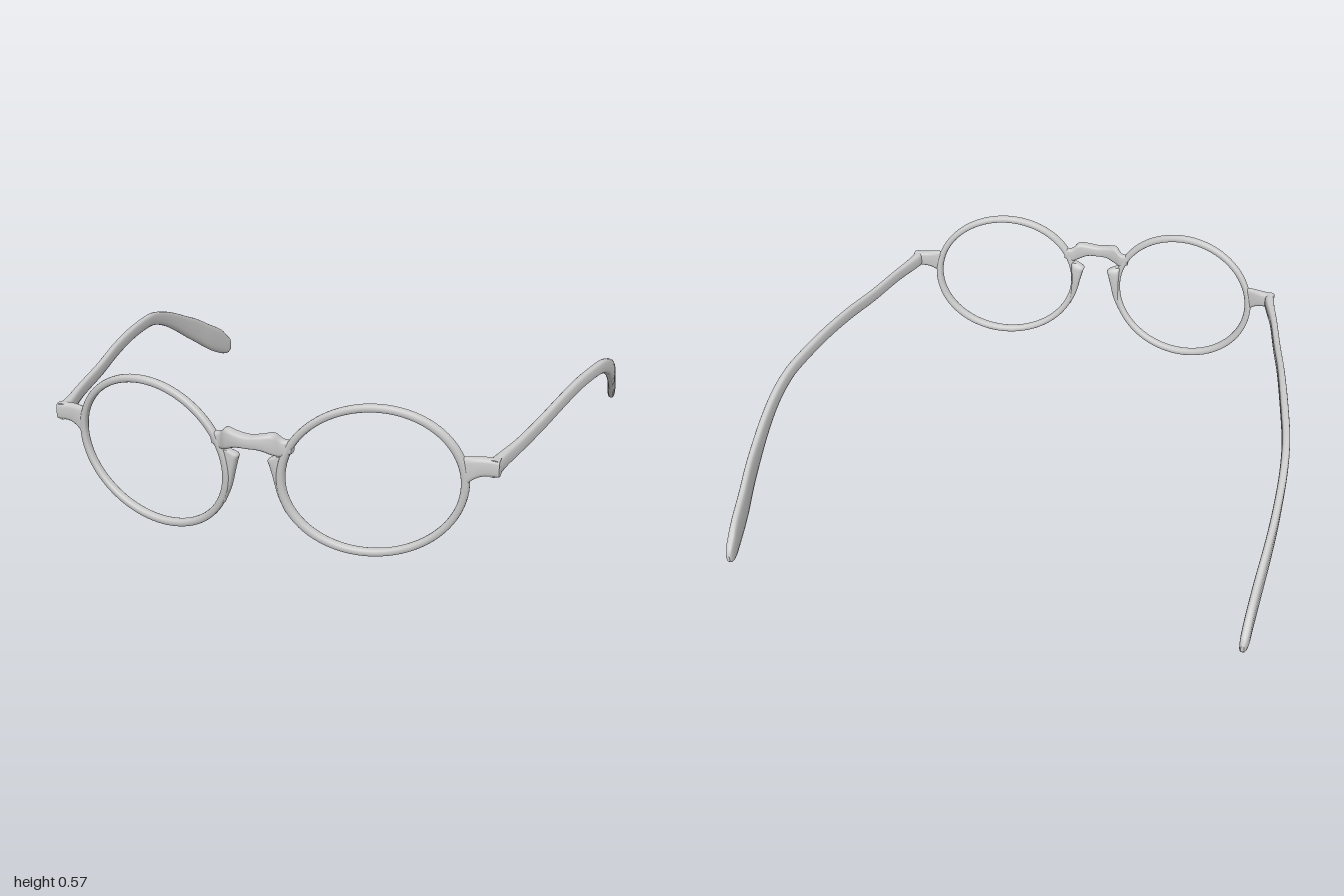
import * as THREE from 'three';

const material = new THREE.MeshStandardMaterial({ color: 0xcccccc });
const SIDES = 16;

// Rounded-box cross-section point (superellipse)
function section(j, power) {
  const a = (j / SIDES) * Math.PI * 2;
  const soft = (v) => Math.sign(v) * Math.pow(Math.abs(v), power);
  return [soft(Math.cos(a)), soft(Math.sin(a))];
}

// Skin over a list of rings, either closed into a loop or capped at both ends
function skin(rings, closed) {
  const n = rings.length;
  const pos = rings.flat(2);
  const index = [];
  for (let i = 0; i < (closed ? n : n - 1); i++) {
    for (let j = 0; j < SIDES; j++) {
      const k = (j + 1) % SIDES;
      const r = ((i + 1) % n) * SIDES;
      index.push(i * SIDES + j, i * SIDES + k, r + k, i * SIDES + j, r + k, r + j);
    }
  }
  if (!closed) {
    for (const [ring, end] of [[rings[0], false], [rings[n - 1], true]]) {
      const base = pos.length / 3;
      const mid = [0, 1, 2].map((c) => ring.reduce((s, p) => s + p[c], 0) / SIDES);
      pos.push(...ring.flat(), ...mid);
      for (let j = 0; j < SIDES; j++) {
        const k = (j + 1) % SIDES;
        index.push(base + SIDES, base + (end ? j : k), base + (end ? k : j));
      }
    }
  }
  const g = new THREE.BufferGeometry();
  g.setAttribute('position', new THREE.Float32BufferAttribute(pos, 3));
  g.setIndex(index);
  g.computeVertexNormals();
  return g;
}

// Smooth loft along +axis; row = [x, y, z, halfSize1, halfSize2],
// half sizes lie on the next two axes in x-y-z order
function loft(axis, rows, steps, power = 0.65) {
  const path = new THREE.CatmullRomCurve3(rows.map((r) => new THREE.Vector3(r[0], r[1], r[2])), false, 'catmullrom');
  const size = new THREE.CatmullRomCurve3(rows.map((r) => new THREE.Vector3(r[3], r[4], 0)), false, 'catmullrom');
  const u = (axis + 1) % 3;
  const v = (axis + 2) % 3;
  const rings = [];
  for (let i = 0; i <= steps; i++) {
    const c = path.getPoint(i / steps).toArray();
    const s = size.getPoint(i / steps);
    const ring = [];
    for (let j = 0; j < SIDES; j++) {
      const [a, b] = section(j, power);
      const p = c.slice();
      p[u] += a * s.x;
      p[v] += b * s.y;
      ring.push(p);
    }
    rings.push(ring);
  }
  return skin(rings, false);
}

// Oval rim lying in a tilted, outward-swept plane
function rimGeometry() {
  const rings = [];
  for (let i = 0; i < 96; i++) {
    const t = (i / 96) * Math.PI * 2;
    const ring = [];
    for (let j = 0; j < SIDES; j++) {
      const [a, b] = section(j, 0.75);
      const dx = (0.303 + a * 0.0135) * Math.cos(t) + 0.015 * Math.sin(t);
      const dy = (0.2715 + a * 0.0135) * Math.sin(t);
      ring.push([0.403 + dx, 0.29 + dy, 0.882 - 0.2 * dx + 0.08 * dy - b * 0.018]);
    }
    rings.push(ring);
  }
  return skin(rings, true);
}

// Reflect a geometry to the other side, keeping faces outward
function mirrored(geometry) {
  const g = geometry.clone().scale(-1, 1, 1);
  g.index.array.reverse();
  g.computeVertexNormals();
  return g;
}

export function createModel() {
  const group = new THREE.Group();
  const add = (name, geometry) => {
    const mesh = new THREE.Mesh(geometry, material);
    mesh.name = name;
    group.add(mesh);
  };

  // Bridge: half profile, reflected to make the whole span
  const half = [
    [0.145, 0.405, 0.943, 0.022, 0.016],
    [0.112, 0.4, 0.948, 0.03, 0.018],
    [0.085, 0.415, 0.962, 0.038, 0.023],
    [0.045, 0.42, 0.973, 0.027, 0.024],
  ];
  add('bridge', loft(0, [
    ...half.map(([x, ...rest]) => [-x, ...rest]),
    [0, 0.418, 0.976, 0.023, 0.024],
    ...half.slice().reverse(),
  ], 48, 0.55));

  const parts = {
    Rim: rimGeometry(),

    // Wedge beside the nose, blending down into the rim
    NosePad: loft(1, [
      [0.118, 0.16, 0.93, 0.012, 0.006],
      [0.099, 0.22, 0.931, 0.018, 0.012],
      [0.09, 0.28, 0.932, 0.022, 0.018],
      [0.085, 0.325, 0.934, 0.023, 0.025],
      [0.083, 0.348, 0.936, 0.021, 0.028],
      [0.1, 0.365, 0.942, 0.014, 0.014],
    ], 24),

    // Flared lug joining rim and temple
    EndPiece: loft(0, [
      [0.7, 0.345, 0.828, 0.055, 0.014],
      [0.73, 0.36, 0.82, 0.04, 0.018],
      [0.765, 0.367, 0.81, 0.032, 0.02],
      [0.817, 0.366, 0.803, 0.03, 0.021],
    ], 18, 0.55),

    // Temple arm, from the rounded paddle tip forward to the hinge
    Temple: loft(2, [
      [0.938, 0.035, -0.999, 0.006, 0.012],
      [0.939, 0.04, -0.985, 0.013, 0.031],
      [0.942, 0.05, -0.955, 0.016, 0.047],
      [0.947, 0.082, -0.9, 0.016, 0.062],
      [0.957, 0.132, -0.8, 0.016, 0.064],
      [0.969, 0.19, -0.7, 0.015, 0.06],
      [0.978, 0.242, -0.6, 0.015, 0.051],
      [0.983, 0.294, -0.5, 0.015, 0.042],
      [0.984, 0.338, -0.4, 0.015, 0.034],
      [0.979, 0.37, -0.3, 0.015, 0.029],
      [0.968, 0.387, -0.2, 0.015, 0.026],
      [0.938, 0.399, 0, 0.015, 0.025],
      [0.907, 0.394, 0.2, 0.014, 0.026],
      [0.872, 0.379, 0.4, 0.014, 0.026],
      [0.838, 0.372, 0.6, 0.014, 0.026],
      [0.812, 0.368, 0.72, 0.017, 0.028],
      [0.801, 0.366, 0.78, 0.02, 0.03],
      [0.799, 0.366, 0.82, 0.018, 0.031],
    ], 102),
  };
  for (const [name, geometry] of Object.entries(parts)) {
    add('left' + name, geometry);
    add('right' + name, mirrored(geometry));
  }
  return group;
}
